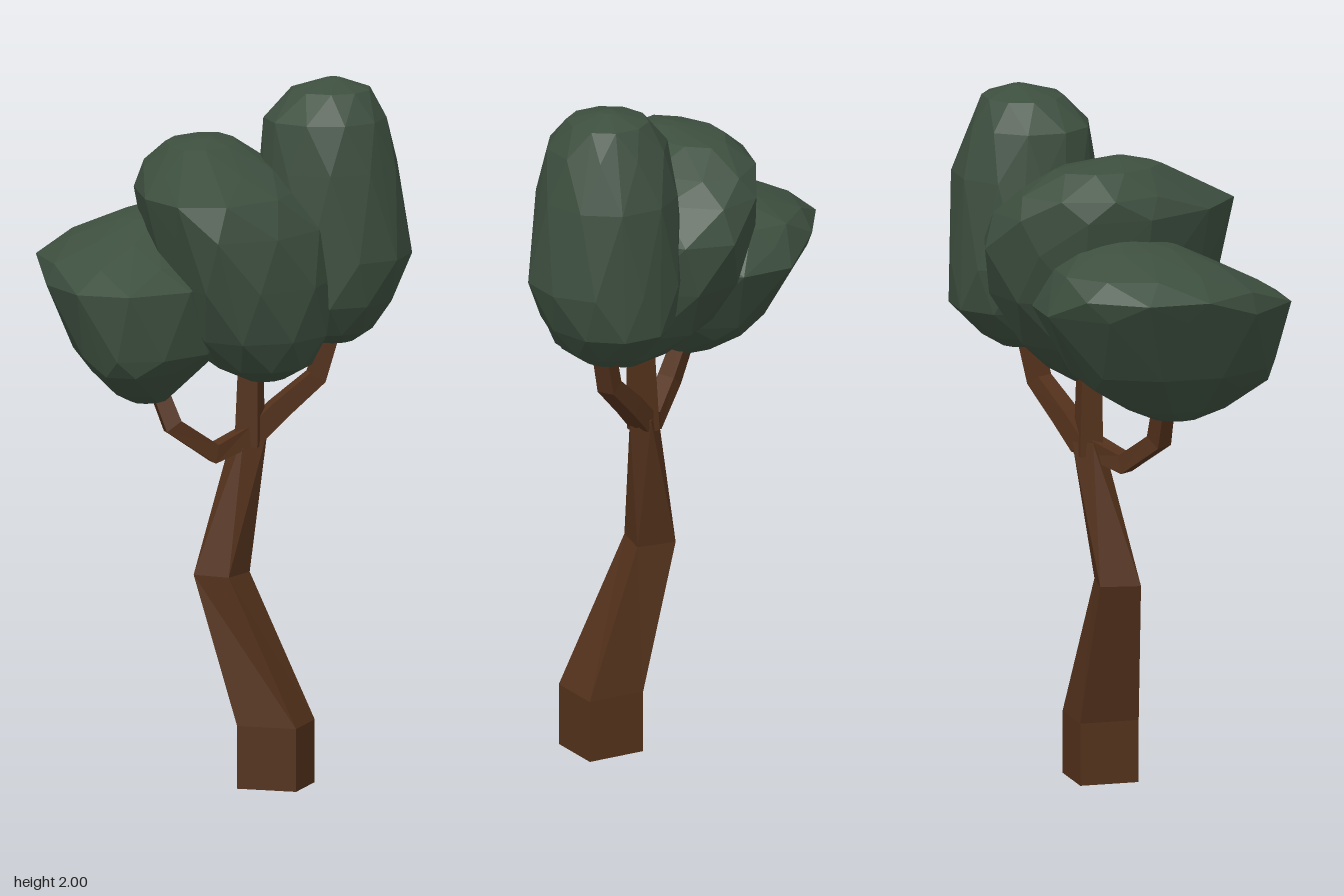
import * as THREE from 'three';
import { ConvexGeometry } from 'three/addons/geometries/ConvexGeometry.js';

const bark = new THREE.MeshStandardMaterial({ color: 0x54321c, flatShading: true });
const leaf = new THREE.MeshStandardMaterial({ color: 0x3d4f3f, flatShading: true });

// Skins a stack of four-cornered rings and closes both ends
function loft(name, rings) {
  const pos = [];
  const quad = (a, b, c, d) => [a, b, c, a, c, d].forEach((p) => pos.push(p.x, p.y, p.z));
  for (let i = 0; i < rings.length - 1; i++) {
    const a = rings[i], b = rings[i + 1];
    for (let j = 0; j < 4; j++) {
      const k = (j + 1) % 4;
      quad(a[j], b[j], b[k], a[k]);
    }
  }
  quad(...rings[0]);
  quad(...[...rings[rings.length - 1]].reverse());
  const geo = new THREE.BufferGeometry();
  geo.setAttribute('position', new THREE.Float32BufferAttribute(pos, 3));
  geo.computeVertexNormals();
  const mesh = new THREE.Mesh(geo, bark);
  mesh.name = name;
  return mesh;
}

// Slice of a leaf clump: a ten-sided skewed ellipse filling the given x and z range;
// a power above 1 pinches its diagonals, below 1 fills them out
function slice([y, x0, x1, z0, z1], skew, power, shift) {
  const angles = Array.from({ length: 10 }, (_, j) => ((j + shift) / 10) * Math.PI * 2);
  const bend = (v) => Math.sign(v) * Math.abs(v) ** power;
  const xs = angles.map((t) => bend(Math.cos(t)));
  const zs = angles.map((t) => bend(Math.sin(t + skew)));
  const sx = (x1 - x0) / 2 / Math.max(...xs), sz = (z1 - z0) / 2 / Math.max(...zs);
  return angles.map((_, j) =>
    new THREE.Vector3((x0 + x1) / 2 + xs[j] * sx, y, (z0 + z1) / 2 + zs[j] * sz));
}

// Faceted hull around the slices, each turned half a step from the one below
function clump(name, skew, power, slices) {
  const points = slices.flatMap((s, i) => slice(s, skew, power, i / 2));
  const mesh = new THREE.Mesh(new ConvexGeometry(points), leaf);
  mesh.name = name;
  return mesh;
}

// Square-section limb along a bent path of [x, y, z, half width]
function limb(name, path) {
  const pts = path.map(([x, y, z]) => new THREE.Vector3(x, y, z));
  const span = pts[pts.length - 1].clone().sub(pts[0]);
  const side = new THREE.Vector3(-span.z, 0, span.x);
  if (side.length() < 0.05) side.set(0, 0, 1);
  const rings = pts.map((p, i) => {
    const before = pts[Math.max(i - 1, 0)], after = pts[Math.min(i + 1, pts.length - 1)];
    const t = after.clone().sub(before).normalize();
    const u = side.clone().addScaledVector(t, -side.dot(t)).normalize();
    const v = u.clone().cross(t);
    const r = path[i][3];
    return [[1, 1], [-1, 1], [-1, -1], [1, -1]].map(([a, b]) =>
      p.clone().addScaledVector(u, a * r).addScaledVector(v, b * r));
  });
  return loft(name, rings);
}

export function createModel() {
  const tree = new THREE.Group();
  tree.name = 'tree';

  // Crooked trunk that twists as it rises: y, then the four [x, z] corners
  const trunk = [
    [0, [0.265, 0.077], [0.09, 0.077], [0.09, -0.095], [0.265, -0.095]],
    [0.18, [0.265, 0.077], [0.09, 0.077], [0.09, -0.095], [0.265, -0.095]],
    [0.6, [0.06, 0.06], [-0.05, 0.042], [-0.03, -0.072], [0.085, -0.055]],
    [1.0, [0.128, -0.085], [0.075, -0.033], [0.03, -0.075], [0.08, -0.122]],
  ].map(([y, ...corners]) => corners.map(([x, z]) => new THREE.Vector3(x, y, z)));
  tree.add(loft('trunk', trunk));

  // Three branches, one into each leaf clump
  tree.add(
    limb('rightBranch', [
      [0.08, 0.99, -0.07, 0.028], [0.0, 0.947, 0.01, 0.027],
      [-0.1, 1.03, 0.08, 0.026], [-0.17, 1.2, 0.08, 0.022]]),
    limb('middleBranch', [[0.078, 0.96, -0.075, 0.034], [0.085, 1.25, -0.07, 0.028]]),
    limb('leftBranch', [
      [0.085, 0.99, -0.085, 0.03], [0.15, 1.06, -0.12, 0.029],
      [0.245, 1.15, -0.17, 0.026], [0.29, 1.32, -0.2, 0.024]]));

  // Leaf clumps: y, x range, z range of each slice
  tree.add(
    clump('leftFoliage', 0, 0.95, [
      [1.25, 0.22, 0.34, -0.27, -0.15],
      [1.285, 0.16, 0.39, -0.33, -0.06],
      [1.37, 0.1, 0.455, -0.41, -0.015],
      [1.5, 0.065, 0.495, -0.42, 0.0],
      [1.75, 0.08, 0.47, -0.402, -0.01],
      [1.89, 0.1, 0.43, -0.36, -0.02],
      [1.97, 0.16, 0.39, -0.32, -0.1],
      [2.0, 0.26, 0.3, -0.24, -0.2]]),
    clump('middleFoliage', 0.15, 1.15, [
      [1.165, 0.08, 0.2, -0.1, 0.06],
      [1.21, -0.01, 0.28, -0.18, 0.18],
      [1.3, -0.13, 0.335, -0.28, 0.25],
      [1.45, -0.19, 0.33, -0.37, 0.3],
      [1.6, -0.22, 0.31, -0.41, 0.325],
      [1.7, -0.235, 0.225, -0.38, 0.33],
      [1.76, -0.24, 0.16, -0.32, 0.2],
      [1.825, -0.16, 0.04, -0.22, 0.1],
      [1.845, -0.06, -0.01, -0.05, 0.01]]),
    clump('rightFoliage', 0, 1.05, [
      [1.107, -0.21, -0.11, 0.05, 0.18],
      [1.14, -0.25, -0.08, -0.03, 0.27],
      [1.21, -0.31, -0.01, -0.14, 0.37],
      [1.26, -0.36, 0.04, -0.2, 0.405],
      [1.45, -0.465, 0.07, -0.3, 0.418],
      [1.51, -0.495, 0.03, -0.28, 0.33],
      [1.565, -0.43, -0.03, -0.25, 0.21],
      [1.62, -0.29, -0.11, -0.18, 0.1],
      [1.65, -0.2, -0.16, -0.09, -0.03]]));

  return tree;
}
